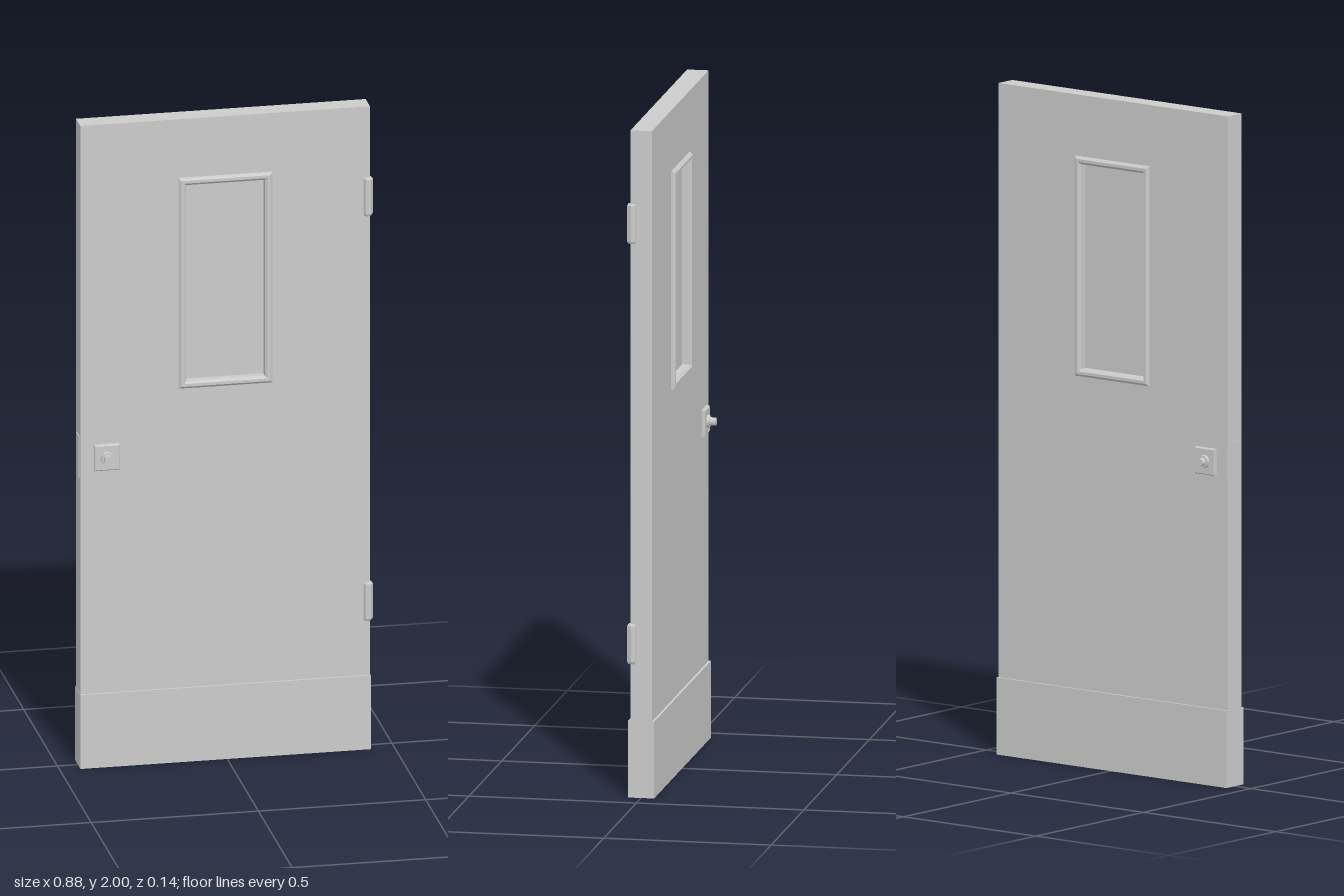
import * as THREE from 'three';

const material = new THREE.MeshStandardMaterial({ color: 0xcccccc, flatShading: true });
const WINDOW = { x: -0.005, y: 1.49 };

function rectangle(Type, cx, cy, w, h) {
  const p = new Type();
  p.moveTo(cx - w / 2, cy - h / 2);
  p.lineTo(cx + w / 2, cy - h / 2);
  p.lineTo(cx + w / 2, cy + h / 2);
  p.lineTo(cx - w / 2, cy + h / 2);
  p.closePath();
  return p;
}

// Extruded plate centred on z = 0, with an optional hole and chamfer
function plate(shape, depth, bevel = 0) {
  const geometry = new THREE.ExtrudeGeometry(shape, {
    depth: depth - 2 * bevel,
    bevelEnabled: bevel > 0,
    bevelThickness: bevel,
    bevelSize: bevel,
    bevelOffset: -bevel,
    bevelSegments: 1,
  });
  return geometry.translate(0, 0, -depth / 2 + bevel);
}

function add(parent, name, geometry, x = 0, y = 0, z = 0) {
  const mesh = new THREE.Mesh(geometry, material);
  mesh.name = name;
  mesh.position.set(x, y, z);
  parent.add(mesh);
  return mesh;
}

export function createModel() {
  const door = new THREE.Group();
  door.name = 'door';

  // Slab with the window opening
  const slab = rectangle(THREE.Shape, -0.005, 1, 0.866, 2);
  slab.holes.push(rectangle(THREE.Path, WINDOW.x, WINDOW.y, 0.25, 0.62));
  add(door, 'slab', plate(slab, 0.064));

  // Chamfered window frame and recessed pane
  const frame = rectangle(THREE.Shape, WINDOW.x, WINDOW.y, 0.28, 0.655);
  frame.holes.push(rectangle(THREE.Path, WINDOW.x, WINDOW.y, 0.235, 0.61));
  add(door, 'windowFrame', plate(frame, 0.087, 0.007));
  add(door, 'windowPane', new THREE.BoxGeometry(0.25, 0.62, 0.03), WINDOW.x, WINDOW.y);

  // Kick plate wrapped around the foot of the slab
  add(door, 'kickPlate', new THREE.BoxGeometry(0.868, 0.23, 0.078), -0.005, 0.115);

  // Knobs on both faces
  for (const side of [1, -1]) {
    const knob = new THREE.Group();
    knob.name = side > 0 ? 'frontKnob' : 'backKnob';
    knob.position.set(-0.36, 0.965, 0);
    if (side < 0) knob.rotation.y = Math.PI;
    door.add(knob);
    const backing = plate(rectangle(THREE.Shape, 0, 0, 0.076, 0.08), 0.014, 0.003);
    add(knob, 'backingPlate', backing, 0, 0, 0.037);
    const collar = new THREE.CylinderGeometry(0.018, 0.02, 0.012, 12).rotateX(Math.PI / 2);
    add(knob, 'collar', collar, 0, 0, 0.046);
    const handle = new THREE.CylinderGeometry(0.0125, 0.0125, 0.024, 12).rotateX(Math.PI / 2);
    add(knob, 'handle', handle, 0, 0, 0.058);
  }

  // Latch plate on the opening edge
  add(door, 'latchPlate', new THREE.BoxGeometry(0.006, 0.13, 0.036), -0.438, 0.965);

  // Six-sided hinge barrels with chamfered ends
  for (const [name, y] of [['upperHinge', 1.72], ['lowerHinge', 0.46]]) {
    const profile = [[0, -0.06], [0.011, -0.06], [0.015, -0.054], [0.015, 0.054], [0.011, 0.06], [0, 0.06]];
    const barrel = new THREE.LatheGeometry(profile.map(([r, h]) => new THREE.Vector2(r, h)), 6, Math.PI / 6);
    add(door, name, barrel, 0.422, y, 0.029);
  }

  return door;
}
